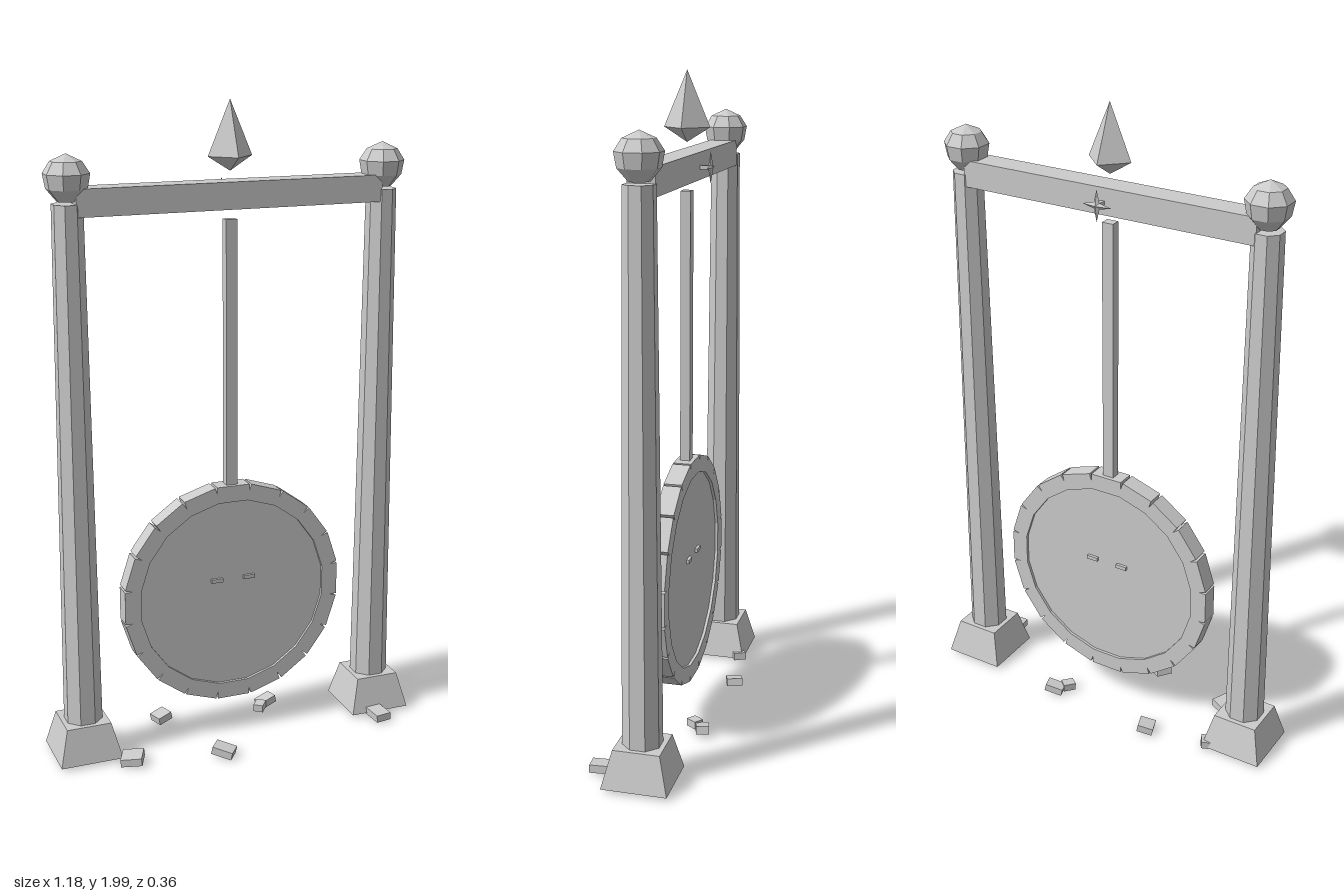
import * as THREE from 'three';

const stone = new THREE.MeshStandardMaterial({ color: 0xcccccc, flatShading: true });
stone.name = 'light grey';

const Z = -0.04; // plane of the frame
const v2 = (x, y) => new THREE.Vector2(x, y);

function add(parent, name, geometry, x = 0, y = 0, z = 0) {
  const mesh = new THREE.Mesh(geometry, stone);
  mesh.name = name;
  mesh.position.set(x, y, z);
  parent.add(mesh);
  return mesh;
}

// Thin pointed star, thickest at its centre
function starGeometry(points, outer, inner, half) {
  const n = points * 2, pos = [];
  const rim = (i) => {
    const r = i % 2 ? inner : outer, a = (i / n) * Math.PI * 2;
    return [r * Math.cos(a), r * Math.sin(a), 0];
  };
  for (let i = 0; i < n; i++) {
    pos.push(0, 0, half, ...rim(i), ...rim(i + 1));
    pos.push(0, 0, -half, ...rim(i + 1), ...rim(i));
  }
  const g = new THREE.BufferGeometry();
  g.setAttribute('position', new THREE.Float32BufferAttribute(pos, 3));
  g.computeVertexNormals();
  return g;
}

function createPost(side) {
  const post = new THREE.Group();
  post.name = side < 0 ? 'rightPost' : 'leftPost';
  post.position.set(side * 0.491, 0, Z);

  // Tapered square foot
  const foot = new THREE.CylinderGeometry(0.07 * Math.SQRT2, 0.098 * Math.SQRT2, 0.112, 4);
  add(post, 'foot', foot.rotateY(Math.PI / 4), 0, 0.074, 0);

  // Eight-sided shaft, flat side forward
  const shaft = new THREE.CylinderGeometry(0.046, 0.06, 1.6, 8);
  add(post, 'shaft', shaft.rotateY(Math.PI / 8), 0, 0.923, 0);

  // Faceted ball on top
  const ball = [v2(0, 1.728), v2(0.03, 1.73), v2(0.06, 1.765), v2(0.068, 1.808), v2(0.046, 1.842), v2(0, 1.863)];
  add(post, 'finial', new THREE.LatheGeometry(ball, 8, Math.PI / 8));
  return post;
}

function createGong() {
  const gong = new THREE.Group();
  gong.name = 'gong';
  gong.position.set(0, 0.482, Z);

  // Recessed plate
  const plate = new THREE.CylinderGeometry(0.318, 0.318, 0.038, 20);
  add(gong, 'plate', plate.rotateX(Math.PI / 2).rotateZ(Math.PI / 20));

  // Rim of straight blocks with small gaps at the outer corners
  const block = new THREE.BoxGeometry(0.105, 0.052, 0.056);
  for (let i = 0; i < 20; i++) {
    const a = (i / 20) * Math.PI * 2;
    const m = add(gong, 'rimBlock', block, -Math.sin(a) * 0.329, Math.cos(a) * 0.329, 0);
    m.rotation.z = a;
  }

  // Small studs through the plate
  for (const s of [-1, 1]) add(gong, 'stud', new THREE.BoxGeometry(0.037, 0.012, 0.056), s * 0.053, 0.048, 0);
  return gong;
}

export function createModel() {
  const model = new THREE.Group();
  model.name = 'hangingGong';

  model.add(createPost(-1), createPost(1), createGong());
  add(model, 'crossbeam', new THREE.BoxGeometry(0.95, 0.08, 0.08), 0, 1.727, Z);
  add(model, 'hanger', new THREE.BoxGeometry(0.036, 0.82, 0.03), 0, 1.245, Z);

  // Four-sided crystal floating above the beam
  const crystal = [v2(0, 1.795), v2(0.069, 1.838), v2(0, 2)];
  add(model, 'crystal', new THREE.LatheGeometry(crystal, 4), 0, 0, Z);

  // Star pinned to the back of the beam
  add(model, 'star', starGeometry(4, 0.047, 0.013, 0.008), 0, 1.723, -0.111);
  add(model, 'starPin', new THREE.BoxGeometry(0.012, 0.012, 0.03), 0, 1.723, -0.093);

  // Loose stones on the ground: x, z, width, depth, turn, tilt
  const stones = [
    [-0.37, 0.08, 0.066, 0.07, -0.42, 0.1],
    [-0.2, -0.152, 0.05, 0.05, 0.32, 0.2],
    [-0.089, 0.136, 0.066, 0.052, -0.65, -0.2],
    [0.16, -0.134, 0.058, 0.04, 0.27, 0.22],
    [0.128, -0.103, 0.04, 0.032, 0.9, 0.05],
    [0.47, 0.085, 0.05, 0.075, 0.08, 0.05],
    [-0.41, -0.118, 0.05, 0.04, 0.5, 0.1],
  ];
  for (const [x, z, w, d, turn, tilt] of stones) {
    const m = add(model, 'looseStone', new THREE.BoxGeometry(w, 0.024, d), x, 0.026, z);
    m.rotation.set(0, turn, tilt);
  }
  return model;
}
